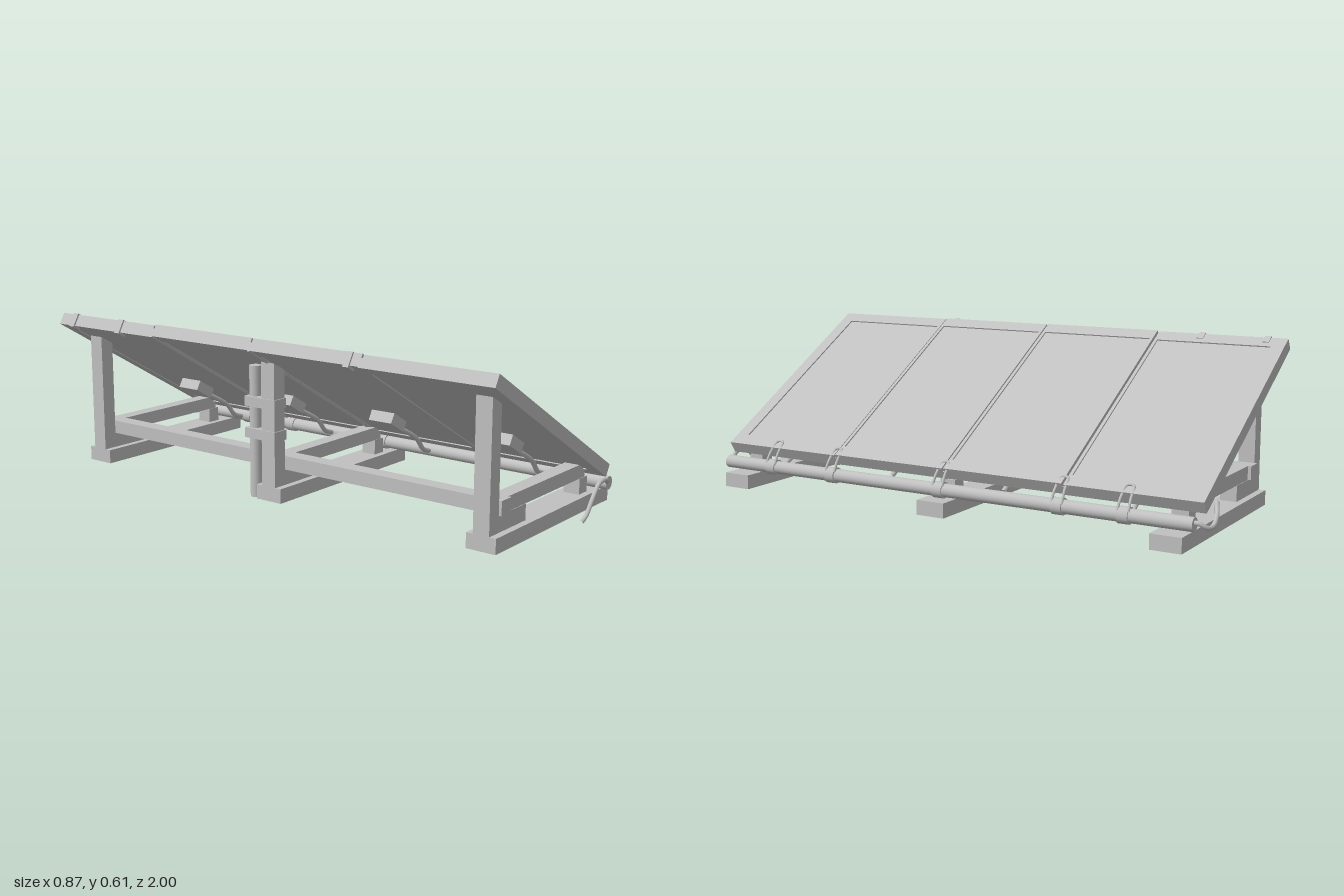
import * as THREE from 'three';

const grey = new THREE.MeshStandardMaterial({ color: 0xc0c0c0 });
grey.name = 'plain grey';

export function createModel() {
  const model = new THREE.Group();
  model.name = 'solarPanelRack';

  const add = (name, geometry, parent = model) => {
    const mesh = new THREE.Mesh(geometry, grey);
    mesh.name = name;
    parent.add(mesh);
    return mesh;
  };
  // box given by its limits on each axis
  const box = (name, x0, x1, y0, y1, z0, z1, parent) => {
    const m = add(name, new THREE.BoxGeometry(x1 - x0, y1 - y0, z1 - z0), parent);
    m.position.set((x0 + x1) / 2, (y0 + y1) / 2, (z0 + z1) / 2);
    return m;
  };
  const tube = (name, points, r, parent) => add(name, new THREE.TubeGeometry(
    new THREE.CatmullRomCurve3(points.map(p => new THREE.Vector3(...p))), 32, r, 8), parent);
  const rod = (name, x, y, z0, z1, r) => {
    const m = add(name, new THREE.CylinderGeometry(r, r, z1 - z0, 20));
    m.rotation.x = Math.PI / 2;
    m.position.set(x, y, (z0 + z1) / 2);
    return m;
  };

  // three trestles: foot, spacer blocks, tie beam and a post cut to the panel slope
  const postShape = new THREE.Shape([[-0.335, 0.065], [-0.28, 0.065], [-0.28, 0.484], [-0.335, 0.514]]
    .map(p => new THREE.Vector2(...p)));
  for (const z of [-0.88, 0, 0.88]) {
    box('foot', -0.335, 0.43, 0.012, 0.065, z - 0.055, z + 0.055);
    box('rearSpacer', -0.28, -0.11, 0.065, 0.122, z - 0.03, z + 0.03);
    box('frontSpacer', 0.26, 0.315, 0.065, 0.122, z - 0.03, z + 0.03);
    box('tieBeam', -0.22, 0.3, 0.122, 0.172, z - 0.028, z + 0.028);
    add('post', new THREE.ExtrudeGeometry(postShape, { depth: 0.06, bevelEnabled: false }))
      .position.z = z - 0.03;
  }
  box('rearBeam', -0.28, -0.22, 0.122, 0.172, -0.92, 0.92);

  // pole strapped beside the middle post
  const pole = add('strappedPole', new THREE.CylinderGeometry(0.022, 0.022, 0.48, 16));
  pole.position.set(-0.308, 0.252, -0.08);
  for (const y of [0.25, 0.365]) {
    box('postStrap', -0.339, -0.276, y - 0.018, y + 0.018, -0.106, 0.034);
    box('strapKnot', -0.276, -0.27, y - 0.02, y + 0.01, -0.03, 0.0);
  }

  // front pipe that carries the low edge
  rod('frontPipe', 0.365, 0.095, -0.95, 0.97, 0.024);
  for (const z of [-0.71, -0.47, 0, 0.47, 0.75]) {
    rod('pipeClamp', 0.365, 0.095, z - 0.02, z + 0.02, 0.029);
    tube('clampLoop', [[0.385, 0.11, z - 0.02], [0.36, 0.15, z - 0.018], [0.325, 0.185, z - 0.012],
      [0.325, 0.185, z + 0.012], [0.36, 0.15, z + 0.018], [0.385, 0.11, z + 0.02]], 0.005);
  }

  // tilted array: local x runs down the slope, local y is the panel normal
  const array = new THREE.Group();
  array.name = 'panelArray';
  array.position.set(-0.0275, 0.386, 0);
  array.rotation.z = -Math.PI / 6;
  model.add(array);
  const half = 0.44, edge = 0.012;
  const edges = [-0.978, -0.475, -0.003, 0.47, 0.978];
  const lifts = [0, 0.004, 0.003, 0];
  for (let i = 0; i < 4; i++) {
    const z0 = edges[i] + 0.003, z1 = edges[i + 1] - 0.003;
    const a = z0 + (i === 0 ? 0.05 : edge), b = z1 - (i === 3 ? 0.05 : edge);
    const panel = new THREE.Group();
    panel.name = 'panel';
    panel.position.y = lifts[i];
    array.add(panel);
    // shape y maps to -z after the turn
    const rect = (x, p, q, C) => new C([[-x, -q], [x, -q], [x, -p], [-x, -p]]
      .map(v => new THREE.Vector2(...v)));
    const rim = rect(half, z0, z1, THREE.Shape);
    rim.holes.push(rect(half - 0.052, a, b, THREE.Path));
    const frame = add('panelFrame', new THREE.ExtrudeGeometry(rim, { depth: 0.046, bevelEnabled: false }), panel);
    frame.rotation.x = -Math.PI / 2;
    frame.position.y = -0.046;
    box('panelFace', -half + 0.05, half - 0.05, -0.042, -0.005, a - 0.002, b + 0.002, panel);
    // junction box and its lead on the underside
    const zc = (z0 + z1) / 2;
    box('junctionBox', 0.09, 0.18, -0.082, -0.04, zc - 0.05, zc + 0.05, panel);
    tube('junctionLead', [[0.175, -0.065, zc], [0.24, -0.062, zc + 0.01], [0.32, -0.065, zc + 0.02],
      [0.38, -0.085, zc + 0.02], [0.44, -0.075, zc + 0.01]], 0.009, panel);
  }
  // thin joint strips under the seams
  for (const z of edges.slice(1, 4)) box('seamStrip', -half, half, -0.046, -0.012, z - 0.005, z + 0.005, array);
  // small clips around the high edge
  for (const z of [-0.9, -0.65, 0.42]) box('edgeClip', -half - 0.006, -half + 0.03, -0.052, 0.003, z - 0.012, z + 0.012, array);

  // loose cables at both ends of the pipe
  tube('hangingCable', [[0.136, 0.01, 0.985], [0.165, 0.028, 0.988], [0.205, 0.08, 0.99], [0.25, 0.12, 0.988],
    [0.3, 0.124, 0.985], [0.34, 0.108, 0.975], [0.365, 0.09, 0.955]], 0.008);
  tube('endCable', [[0.22, 0.14, -0.965], [0.26, 0.11, -0.982], [0.31, 0.085, -0.991], [0.35, 0.085, -0.988],
    [0.366, 0.1, -0.965], [0.365, 0.1, -0.94]], 0.008);

  return model;
}
